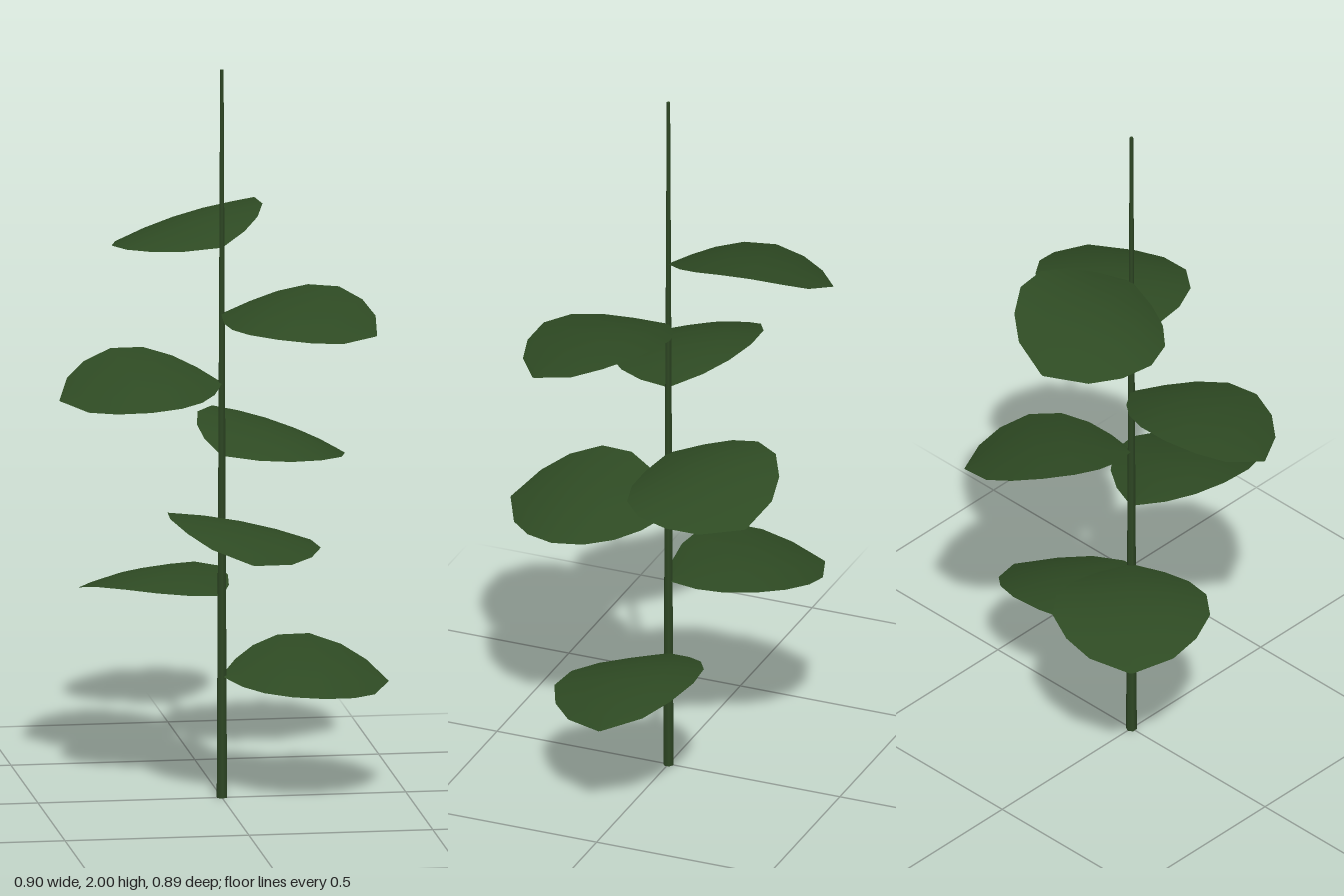
import * as THREE from 'three';

const leafGreen = new THREE.MeshStandardMaterial({ color: 0x2e4a23, side: THREE.DoubleSide });
leafGreen.name = 'leaf green';
const stemGreen = new THREE.MeshStandardMaterial({ color: 0x2e4724 });
stemGreen.name = 'stem green';

// Leaf outline: distance along the midrib and half width there
const outline = [
  [0, 0.004], [0.045, 0.09], [0.098, 0.155], [0.168, 0.202], [0.255, 0.212],
  [0.338, 0.175], [0.402, 0.113], [0.452, 0.003],
];
const LENGTH = 0.452;

// Rounded blade along +x, arched lengthwise with slightly drooping sides
function leafGeometry(roll) {
  const rows = outline.length - 1;
  const geo = new THREE.PlaneGeometry(1, 1, rows, 4);
  const pos = geo.attributes.position;
  const bow = Math.sin(roll) * 0.03;
  for (let i = 0; i < pos.count; i++) {
    const [u, half] = outline[Math.round((pos.getX(i) + 0.5) * rows)];
    const s = pos.getY(i) * 2;
    const arch = Math.sin((Math.PI * u) / LENGTH);
    const droop = 0.015 * s * s * (half / 0.21);
    pos.setXYZ(i, u, 0.056 * arch - droop, -s * half + bow * arch);
  }
  geo.rotateX(roll);
  geo.rotateZ(-0.056);
  geo.computeVertexNormals();
  return geo;
}

// Leaves up the stem: height, compass angle and sideways tilt in degrees
const leaves = [
  [0.335, 1.6, 13], [0.555, 226, 0], [0.755, 87.4, -13], [0.94, -50, 13],
  [1.14, 173.5, -13], [1.33, 31, 9], [1.512, 258, -14],
];

export function createModel() {
  const group = new THREE.Group();
  group.name = 'leafyStalk';

  // Tapering stem
  const stem = new THREE.Mesh(new THREE.CylinderGeometry(0.005, 0.015, 2, 6), stemGreen);
  stem.name = 'stem';
  stem.position.y = 1;
  group.add(stem);

  // Spiral of leaves
  leaves.forEach(([y, angle, roll], i) => {
    const leaf = new THREE.Mesh(leafGeometry(THREE.MathUtils.degToRad(roll)), leafGreen);
    leaf.name = `leaf${i + 1}`;
    leaf.position.y = y;
    leaf.rotation.y = -THREE.MathUtils.degToRad(angle);
    group.add(leaf);
  });
  return group;
}
